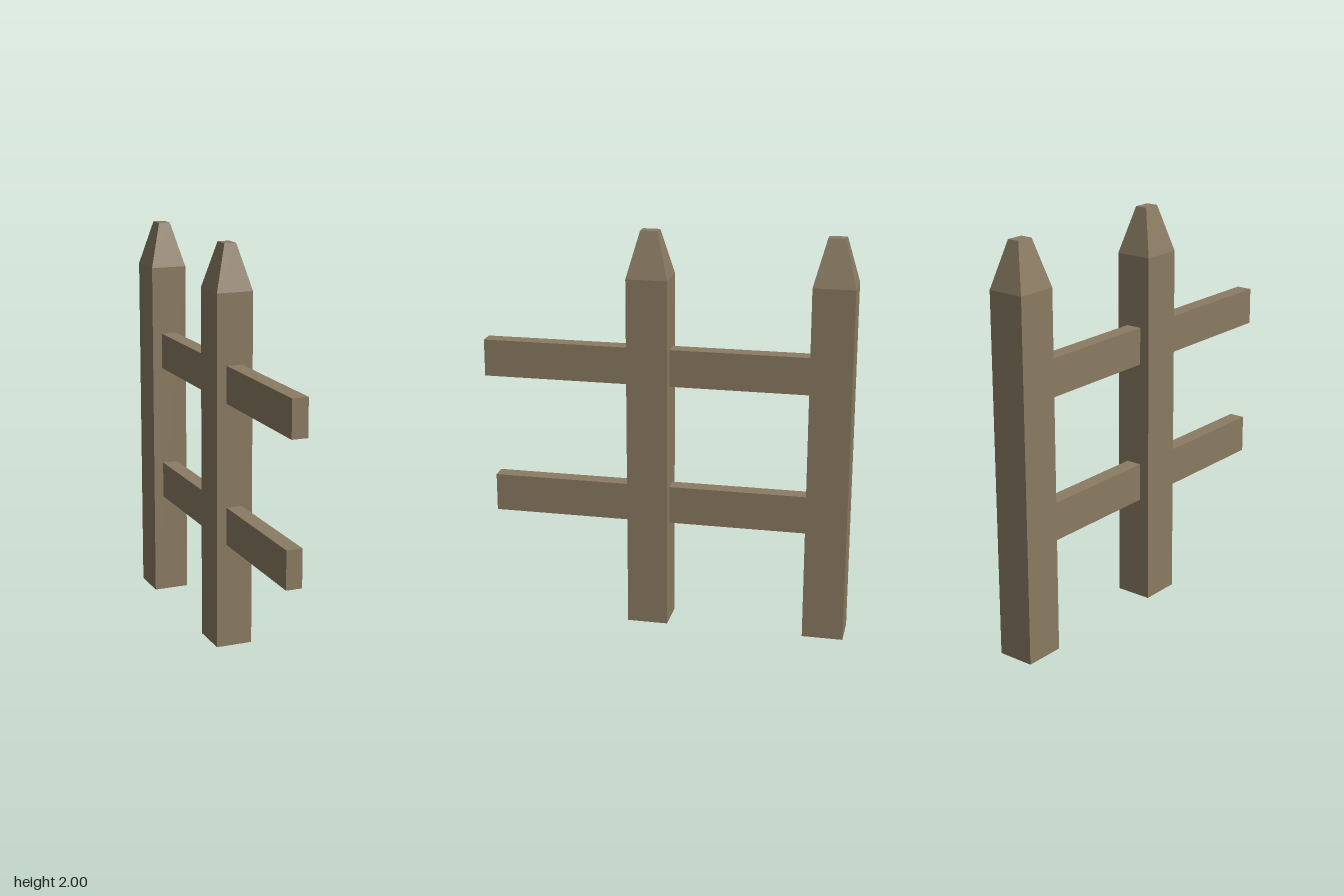
import * as THREE from 'three';

const POST = { w: 0.185, d: 0.203, h: 2, shoulder: 1.775, tipW: 0.06, tipD: 0.085 };

// Square post: a box with a ring of vertices at the shoulder and a narrowed flat tip
function postGeometry() {
  const box = new THREE.BoxGeometry(POST.w, POST.h, POST.d, 1, 2, 1);
  const p = box.attributes.position;
  for (let i = 0; i < p.count; i++) {
    const y = p.getY(i);
    if (y > 0.5) {
      p.setX(i, Math.sign(p.getX(i)) * POST.tipW / 2);
      p.setZ(i, Math.sign(p.getZ(i)) * POST.tipD / 2);
    }
    p.setY(i, Math.abs(y) < 0.1 ? POST.shoulder : y + POST.h / 2);
  }
  const flat = box.toNonIndexed();
  flat.computeVertexNormals();
  return flat;
}

export function createModel() {
  const wood = new THREE.MeshStandardMaterial({ color: 0x8a7b62 });
  wood.name = 'weathered wood';

  const fence = new THREE.Group();
  fence.name = 'fence';

  const add = (name, geometry, x, y, z) => {
    const mesh = new THREE.Mesh(geometry, wood);
    mesh.name = name;
    mesh.position.set(x, y, z);
    fence.add(mesh);
  };

  // Posts
  const post = postGeometry();
  add('middlePost', post, 0, 0, 0.078);
  add('backPost', post, 0, 0, -0.813);

  // Rails run through the middle post and end inside the back post
  const railBack = -0.75;
  const rails = [
    ['upperRail', 1.24, 1.425, 0.915],
    ['lowerRail', 0.53, 0.72, 0.875],
  ];
  for (const [name, bottom, top, front] of rails) {
    const geometry = new THREE.BoxGeometry(0.08, top - bottom, front - railBack);
    add(name, geometry, -0.002, (top + bottom) / 2, (front + railBack) / 2);
  }

  return fence;
}
